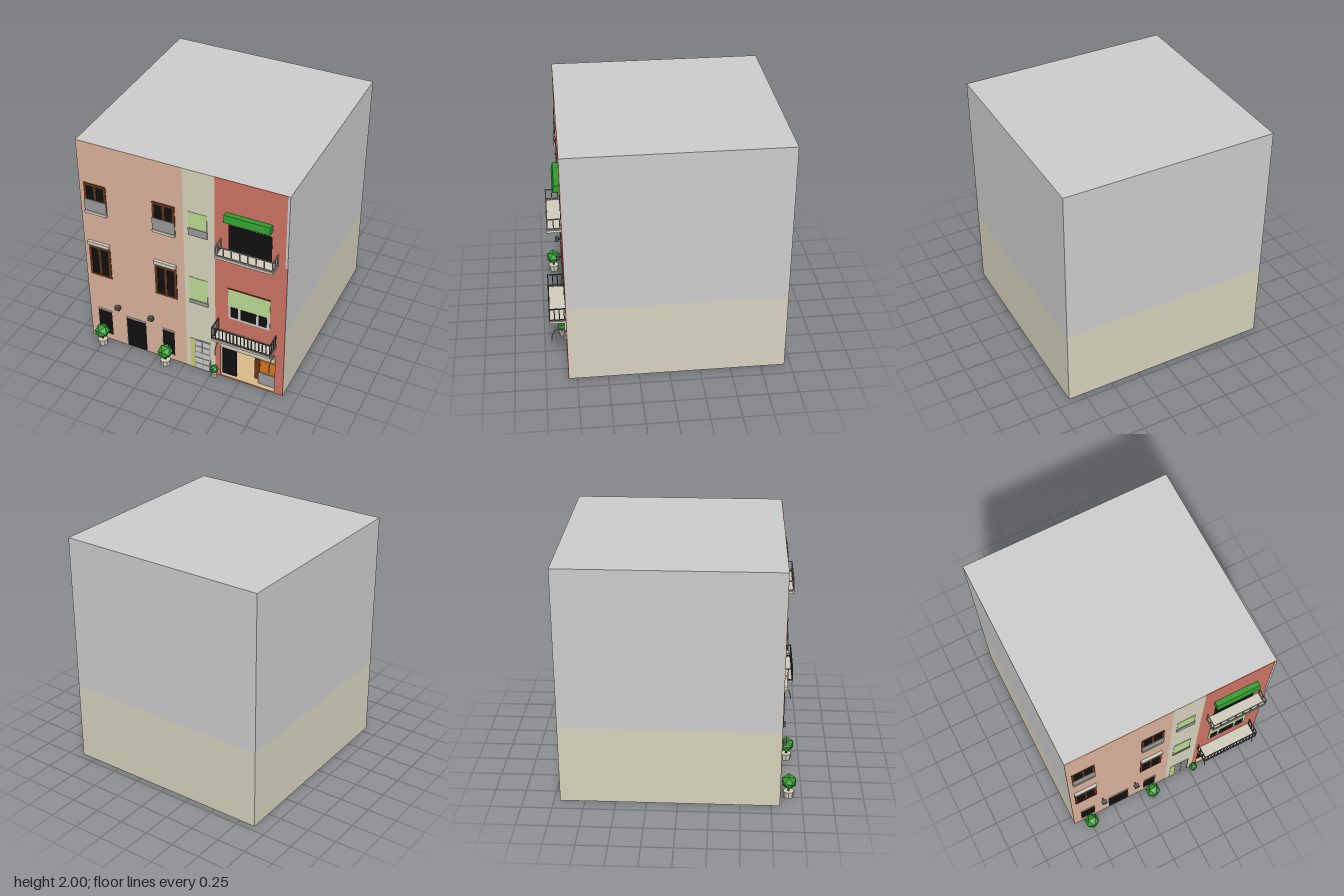
import * as THREE from 'three';

const FRONT = 0.82, BACK = -0.95, HALF = 0.885;
const mats = {};
const mat = (color) => (mats[color] ??= new THREE.MeshStandardMaterial({ color, flatShading: true, side: THREE.DoubleSide }));
const GREY = 0xcccccc, BEIGE = 0xd6d1bc, PINK = 0xd8b09b, RED = 0xcb7262, STONE = 0xcfcaba, BROWN = 0x6b3418,
  BLACK = 0x101010, LIME = 0xb9d892, GREEN = 0x2f9a2c, IRON = 0x55555a, STEEL = 0x9a9a9a, ORANGE = 0xd9761a, TAN = 0xd8b88a;

function add(parent, name, geo, color) {
  const m = new THREE.Mesh(geo, mat(color));
  m.name = name;
  parent.add(m);
  return m;
}

// Box given by its limits on each axis
function box(parent, name, color, x0, x1, y0, y1, z0, z1) {
  const m = add(parent, name, new THREE.BoxGeometry(x1 - x0, y1 - y0, z1 - z0), color);
  m.position.set((x0 + x1) / 2, (y0 + y1) / 2, (z0 + z1) / 2);
  return m;
}

function group(parent, name) {
  const g = new THREE.Group();
  g.name = name;
  parent.add(g);
  return g;
}

const rect = (C, x0, x1, y0, y1) =>
  new C([[x0, y0], [x1, y0], [x1, y1], [x0, y1]].map((p) => new THREE.Vector2(...p)));

// Thin painted wall with rectangular openings
function facade(parent, name, color, x0, x1, holes) {
  const s = rect(THREE.Shape, x0, x1, 0, 2);
  s.holes = holes.map((h) => rect(THREE.Path, ...h));
  add(parent, name, new THREE.ExtrudeGeometry(s, { depth: 0.006, bevelEnabled: false }), color).position.z = FRONT - 0.006;
}

// Two-leaf window: dark glass, outer frame and middle post
function woodWindow(parent, x0, x1, y0, y1) {
  const g = group(parent, 'woodenWindow'), t = 0.02, z0 = FRONT - 0.003, z1 = FRONT + 0.006;
  box(g, 'glass', BLACK, x0, x1, y0, y1, FRONT - 0.005, FRONT + 0.002);
  for (const x of [x0, (x0 + x1 - t) / 2, x1 - t]) box(g, 'frameUpright', BROWN, x, x + t, y0, y1, z0, z1);
  for (const y of [y0, y1 - t]) box(g, 'frameRail', BROWN, x0 + t, x1 - t, y, y + t, z0, z1);
}

// Slab with posts and a handrail around three sides
function balcony(parent, name, [x0, x1], [y0, ySlab, yTop], zEnd, bars, sideBars, color, r) {
  const g = group(parent, name);
  box(g, 'balconySlab', STONE, x0, x1, y0, ySlab, FRONT, zEnd);
  const post = new THREE.BoxGeometry(r * 2, yTop - ySlab, r * 2);
  const put = (x, z) => add(g, 'railPost', post, color).position.set(x, (ySlab + yTop) / 2, z);
  const xa = x0 + r, xb = x1 - r, zr = zEnd - r;
  for (let i = 0; i <= bars; i++) put(xa + ((xb - xa) * i) / bars, zr);
  for (const x of [xa, xb]) for (let i = 0; i < sideBars; i++) put(x, FRONT + 0.01 + ((zr - FRONT - 0.01) * i) / sideBars);
  for (const y of [ySlab + 0.012, yTop - r]) {
    box(g, 'frontRail', color, x0, x1, y - r, y + r, zEnd - 2 * r, zEnd);
    for (const x of [xa, xb]) box(g, 'sideRail', color, x - r, x + r, y - r, y + r, FRONT, zEnd);
  }
}

function plant(parent, x, z, y, r, potR, potTop) {
  const g = group(parent, 'pottedBush');
  add(g, 'pot', new THREE.CylinderGeometry(potR, potR * 0.85, potTop, 8), STONE).position.set(x, potTop / 2, z);
  add(g, 'trunk', new THREE.CylinderGeometry(0.008, 0.008, y - potTop + 0.01, 6), BROWN).position.set(x, (y + potTop) / 2, z);
  const bush = add(g, 'bush', new THREE.IcosahedronGeometry(r, 0), GREEN);
  bush.position.set(x, y, z);
}

export function createModel() {
  const model = new THREE.Group();
  model.name = 'townhouse';
  const skin = FRONT - 0.006;

  // Building mass: upper block, plinth, and ground floor with a shop recess
  const body = group(model, 'building');
  box(body, 'upperBlock', GREY, -HALF, HALF, 0.67, 2, BACK, skin);
  box(body, 'plinth', BEIGE, -HALF, HALF, 0.335, 0.67, BACK, skin);
  const plan = new THREE.Shape([[-HALF, -BACK], [-HALF, -skin], [0.33, -skin], [0.33, -0.5], [0.81, -0.5], [0.81, -skin],
    [HALF, -skin], [HALF, -BACK]].map((p) => new THREE.Vector2(...p)));
  const ground = add(body, 'groundFloor', new THREE.ExtrudeGeometry(plan, { depth: 0.335, bevelEnabled: false }), BEIGE);
  ground.rotation.x = -Math.PI / 2;

  // Three painted house fronts
  const columns = [[-0.845, -0.65], [-0.245, -0.05]];
  const shopWindows = [[-0.81, -0.68, 0.06, 0.325], [-0.54, -0.355, 0, 0.325], [-0.2, -0.09, 0.06, 0.325]];
  facade(body, 'pinkFront', PINK, -HALF, 0.02, shopWindows);
  facade(body, 'beigeFront', BEIGE, 0.02, 0.285, []);
  facade(body, 'redFront', RED, 0.285, HALF, [[0.33, 0.81, 0.012, 0.335]]);
  box(body, 'drainStrip', GREY, 0.866, HALF, 1.34, 2, skin, FRONT + 0.002);

  // Pink house windows on two floors
  for (const [x0, x1] of columns) {
    woodWindow(model, x0, x1, 1.36, 1.62);
    box(model, 'windowGuard', STEEL, x0, x1, 1.36, 1.47, FRONT + 0.008, FRONT + 0.014);
    box(model, 'windowSill', STONE, x0, x1, 1.335, 1.36, FRONT, FRONT + 0.02);
    woodWindow(model, x0, x1, 0.695, 1.0);
    box(model, 'lintel', STONE, x0, x1, 1.015, 1.05, FRONT, FRONT + 0.025);
  }

  // Pink house ground floor
  for (const [x0, x1, y0, y1] of shopWindows) {
    box(model, 'darkOpening', BLACK, x0, x1, y0, y1, skin - 0.004, skin + 0.002);
    box(model, 'openingHead', STONE, x0, x1, y1 - 0.01, y1 + 0.005, FRONT - 0.004, FRONT + 0.006);
  }
  for (const x of [-0.6, -0.29]) {
    const lamp = group(model, 'spotlight');
    box(lamp, 'arm', IRON, x - 0.006, x + 0.006, 0.415, 0.427, FRONT, FRONT + 0.05);
    box(lamp, 'head', IRON, x - 0.022, x + 0.022, 0.405, 0.437, FRONT + 0.018, FRONT + 0.05);
  }

  // Beige house shutters, guards and door
  box(model, 'shutter', LIME, 0.065, 0.22, 1.46, 1.62, FRONT, FRONT + 0.003);
  box(model, 'guard', STEEL, 0.062, 0.225, 1.4, 1.468, FRONT, FRONT + 0.008);
  box(model, 'shutter', LIME, 0.065, 0.22, 0.75, 0.98, FRONT, FRONT + 0.003);
  box(model, 'guard', STEEL, 0.062, 0.225, 0.715, 0.752, FRONT, FRONT + 0.008);
  const door = group(model, 'houseDoor');
  box(door, 'sideStrip', 0xc9c877, 0.06, 0.1, 0, 0.325, FRONT, FRONT + 0.003);
  box(door, 'doorLeaf', STEEL, 0.1, 0.24, 0, 0.325, FRONT, FRONT + 0.003);
  for (let i = 0; i < 2; i++) for (let j = 0; j < 5; j++)
    box(door, 'doorPanel', GREY, 0.108 + i * 0.066, 0.166 + i * 0.066, 0.01 + j * 0.063, 0.064 + j * 0.063, FRONT, FRONT + 0.006);

  // Red house upper floor: window, awning and balcony
  box(model, 'balconyWindow', BLACK, 0.4, 0.755, 1.36, 1.605, FRONT, FRONT + 0.002);
  box(model, 'rolledShutter', LIME, 0.4, 0.755, 1.605, 1.62, FRONT, FRONT + 0.004);
  const awning = new THREE.Shape([[0, 1.65], [0.055, 1.65], [0.042, 1.71], [0, 1.71]].map((p) => new THREE.Vector2(...p)));
  const hood = add(model, 'awning', new THREE.ExtrudeGeometry(awning, { depth: 0.375, bevelEnabled: false }), GREEN);
  hood.rotation.y = -Math.PI / 2;
  hood.position.set(0.755, 0, FRONT);
  balcony(model, 'upperBalcony', [0.335, 0.81], [1.335, 1.357, 1.455], 0.93, 7, 2, STEEL, 0.004);

  // Red house middle floor: half-closed shutter over three panes
  box(model, 'wideShutter', LIME, 0.4, 0.755, 0.8, 0.975, FRONT, FRONT + 0.004);
  box(model, 'shutterTop', BROWN, 0.4, 0.755, 0.975, 0.982, FRONT, FRONT + 0.008);
  box(model, 'windowFrame', GREY, 0.4, 0.755, 0.67, 0.8, FRONT, FRONT + 0.003);
  for (const [x0, x1] of [[0.42, 0.485], [0.505, 0.64], [0.66, 0.73]])
    box(model, 'pane', BLACK, x0, x1, 0.69, 0.795, FRONT, FRONT + 0.005);
  balcony(model, 'lowerBalcony', [0.31, 0.815], [0.5, 0.52, 0.64], 0.95, 16, 3, IRON, 0.004);

  // Shop front: blank sign board, curved brackets, fitted interior
  box(model, 'signBoard', STONE, 0.33, 0.815, 0.34, 0.385, FRONT, FRONT + 0.012);
  const curve = new THREE.CatmullRomCurve3([[0.41, 0.82], [0.445, 0.86], [0.43, 0.905], [0.39, 0.93], [0.335, 0.938]]
    .map(([y, z]) => new THREE.Vector3(0, y, z)));
  for (const x of [0.335, 0.805])
    add(model, 'curvedBracket', new THREE.TubeGeometry(curve, 16, 0.005, 6), STEEL).position.x = x;
  const shop = group(model, 'shop');
  box(shop, 'floor', TAN, 0.33, 0.81, 0, 0.012, 0.5, FRONT);
  box(shop, 'darkDoor', BLACK, 0.335, 0.46, 0.012, 0.33, 0.78, 0.79);
  box(shop, 'backPanel', TAN, 0.46, 0.81, 0.012, 0.335, 0.5, 0.51);
  box(shop, 'brownDoor', BROWN, 0.6, 0.645, 0.012, 0.235, 0.72, 0.74);
  box(shop, 'orangePanel', ORANGE, 0.66, 0.795, 0.14, 0.27, 0.76, 0.775);
  box(shop, 'counter', STEEL, 0.65, 0.8, 0.012, 0.135, 0.7, 0.78);
  box(shop, 'shelf', STEEL, 0.66, 0.8, 0.285, 0.325, 0.72, 0.78);

  // Potted bushes along the pavement
  for (const x of [-0.745, -0.145]) plant(model, x, 0.892, 0.145, 0.066, 0.045, 0.06);
  plant(model, 0.285, 0.852, 0.085, 0.038, 0.024, 0.045);

  return model;
}
